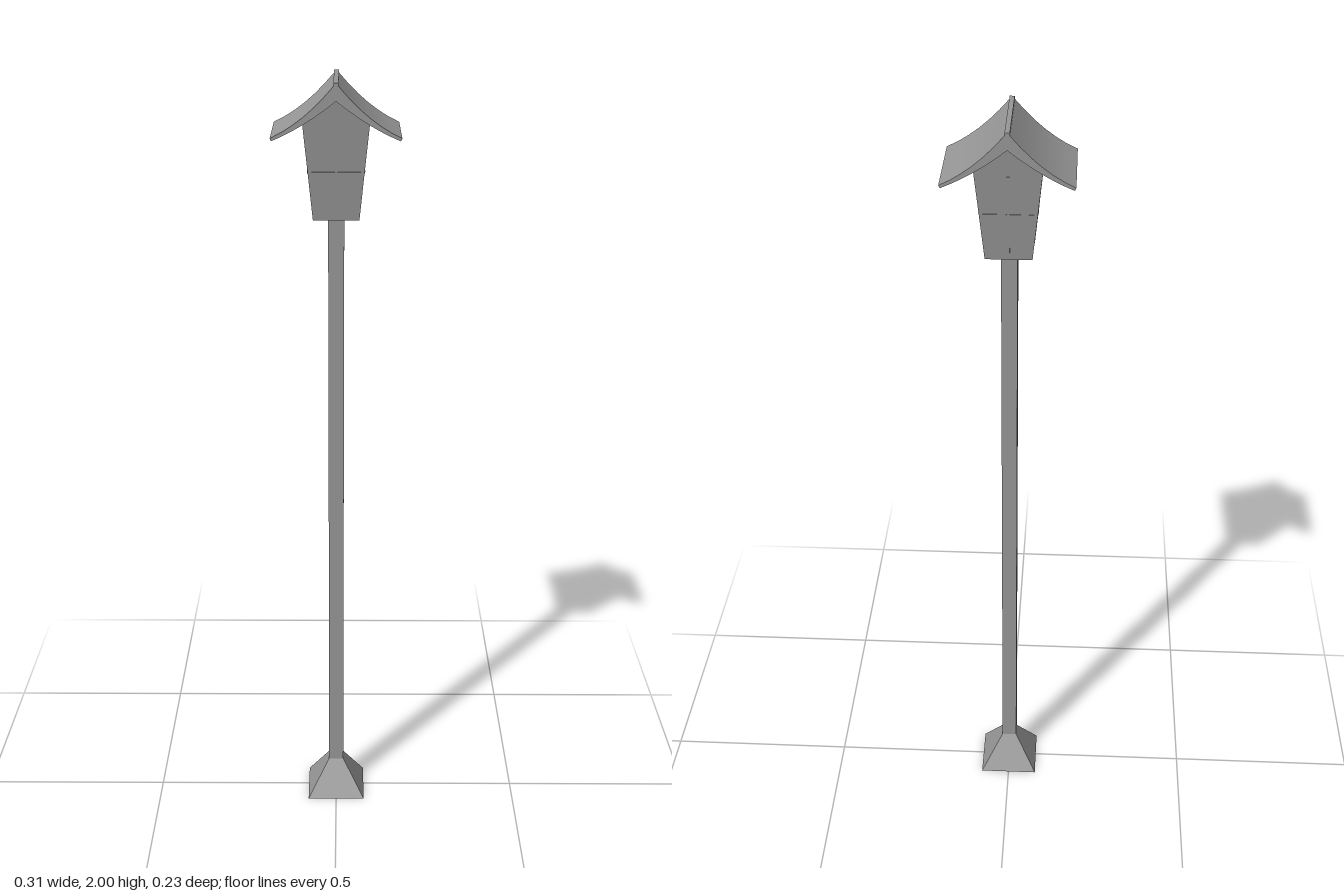
import * as THREE from 'three';
import { toCreasedNormals } from 'three/addons/utils/BufferGeometryUtils.js';

const material = new THREE.MeshStandardMaterial({ color: 0x979797, side: THREE.DoubleSide });

function add(parent, name, geometry) {
  const mesh = new THREE.Mesh(toCreasedNormals(geometry, 0.3), material);
  mesh.name = name;
  parent.add(mesh);
}

// Four-sided tapered prism with sides facing the axes; sizes are half widths
function frustum(topHalf, bottomHalf, y0, y1, open) {
  const g = new THREE.CylinderGeometry(topHalf * Math.SQRT2, bottomHalf * Math.SQRT2, y1 - y0, 4, 1, open);
  return g.rotateY(Math.PI / 4).translate(0, (y0 + y1) / 2, 0);
}

const HEAD_Y = 1.661, EAVE_Y = 1.898, GABLE_Y = 1.958;
const headHalf = (y) => 0.057 + 0.1 * (y - HEAD_Y);

// Lantern body: flares upward and ends in a gable at front and back
function bodyGeometry() {
  const g = new THREE.BoxGeometry(2, 1, 2, 2, 1, 1);
  const p = g.attributes.position;
  for (let i = 0; i < p.count; i++) {
    const x = p.getX(i);
    const top = x === 0 ? GABLE_Y : EAVE_Y;
    const y = p.getY(i) > 0 ? top : HEAD_Y;
    const half = headHalf(y);
    p.setXYZ(i, x * half, y, p.getZ(i) * half);
  }
  return g;
}

// Roof: swept gable profile with a narrow raised ridge, extruded front to back
function roofGeometry() {
  const v = (x, y) => new THREE.Vector2(x, y);
  const upper = new THREE.QuadraticBezierCurve(v(0.006, 1.993), v(0.078, 1.907), v(0.157, 1.872)).getPoints(6);
  const lower = new THREE.QuadraticBezierCurve(v(0.154, 1.865), v(0.078, 1.896), v(0, 1.958)).getPoints(6);
  const right = [v(0.006, 2), ...upper, ...lower];
  const left = right.slice(0, -1).reverse().map((p) => v(-p.x, p.y));
  const shape = new THREE.Shape([...right, ...left]);
  return new THREE.ExtrudeGeometry(shape, { depth: 0.234, bevelEnabled: false }).translate(0, 0, -0.117);
}

export function createModel() {
  const model = new THREE.Group();
  model.name = 'lampPost';

  // Foot and post
  add(model, 'foot', frustum(0.02, 0.078, 0, 0.096, true));
  add(model, 'post', frustum(0.02, 0.02, 0.09, HEAD_Y + 0.002, false));

  // Lantern head
  const lantern = new THREE.Group();
  lantern.name = 'lantern';
  model.add(lantern);
  add(lantern, 'lanternBody', bodyGeometry());
  add(lantern, 'roof', roofGeometry());

  // Thin glazing bars lying on each sloping side
  for (let i = 0; i < 4; i++) {
    const side = new THREE.Group();
    side.name = 'glazingBars';
    side.rotation.y = i * Math.PI / 2;
    lantern.add(side);
    const pane = new THREE.Group();
    pane.name = 'pane';
    pane.position.set(0, 1.78, headHalf(1.78));
    pane.rotation.x = Math.atan(0.1);
    side.add(pane);
    add(pane, 'uprightBar', new THREE.BoxGeometry(0.006, 0.2, 0.003));
    add(pane, 'crossBar', new THREE.BoxGeometry(0.12, 0.005, 0.003));
  }
  return model;
}
